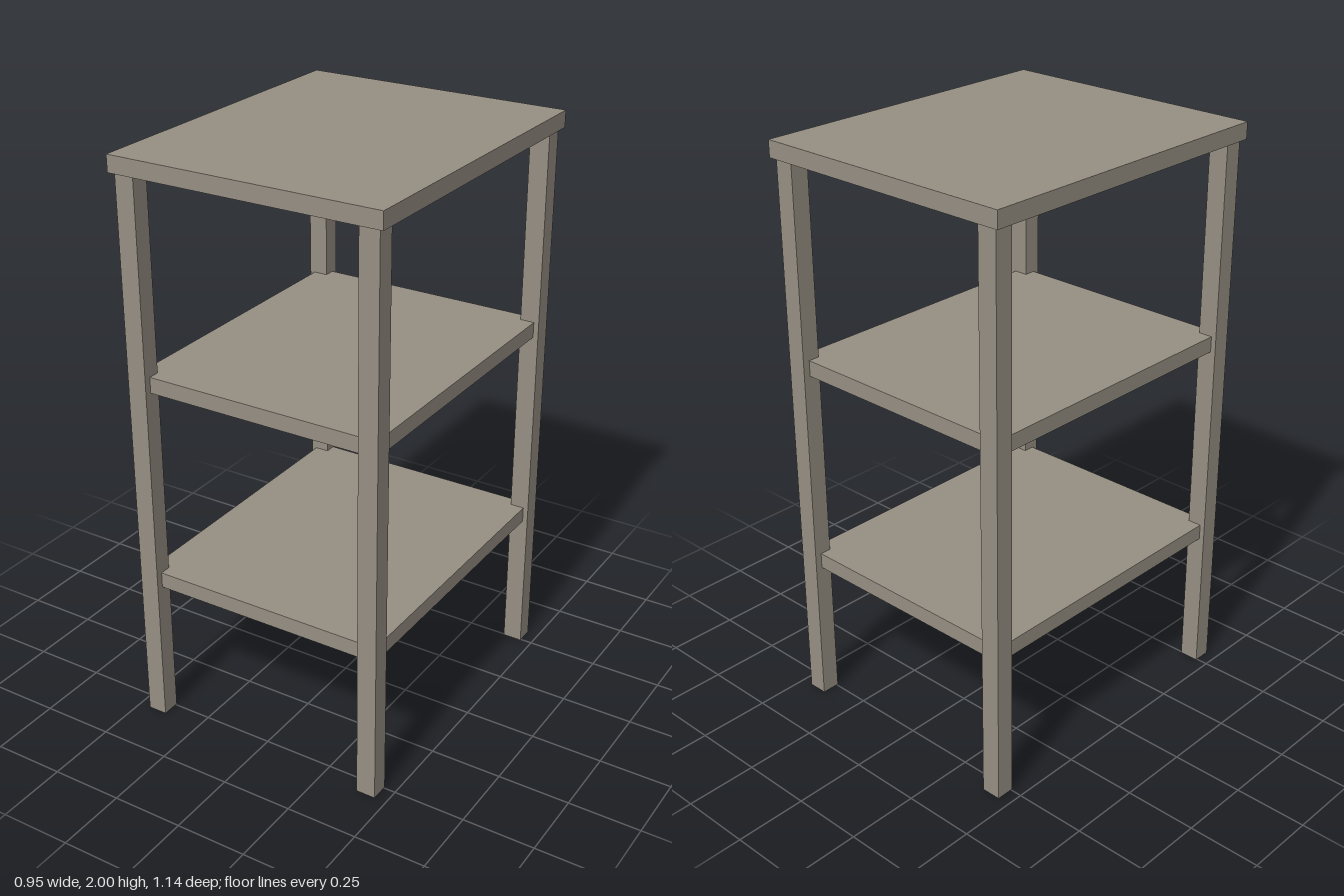
import * as THREE from 'three';

export function createModel() {
  const group = new THREE.Group();
  const wood = new THREE.MeshStandardMaterial({ color: 0x968f83 });
  wood.name = 'greyWood';

  // Box with its bottom face at y
  const addBox = (name, w, h, d, x, y, z) => {
    const mesh = new THREE.Mesh(new THREE.BoxGeometry(w, h, d), wood);
    mesh.name = name;
    mesh.position.set(x, y + h / 2, z);
    group.add(mesh);
  };

  // Overhanging top board
  addBox('tableTop', 0.95, 0.057, 1.142, 0, 1.943, 0);

  // Two shelves let into the legs
  addBox('upperShelf', 0.88, 0.055, 1.07, 0, 1.226, 0);
  addBox('lowerShelf', 0.88, 0.055, 1.07, 0, 0.506, 0);

  // Four square legs
  for (const [side, x] of [['Left', 0.424], ['Right', -0.424]]) {
    for (const [end, z] of [['front', 0.527], ['back', -0.527]]) {
      addBox(`${end}${side}Leg`, 0.068, 1.943, 0.064, x, 0, z);
    }
  }

  return group;
}
